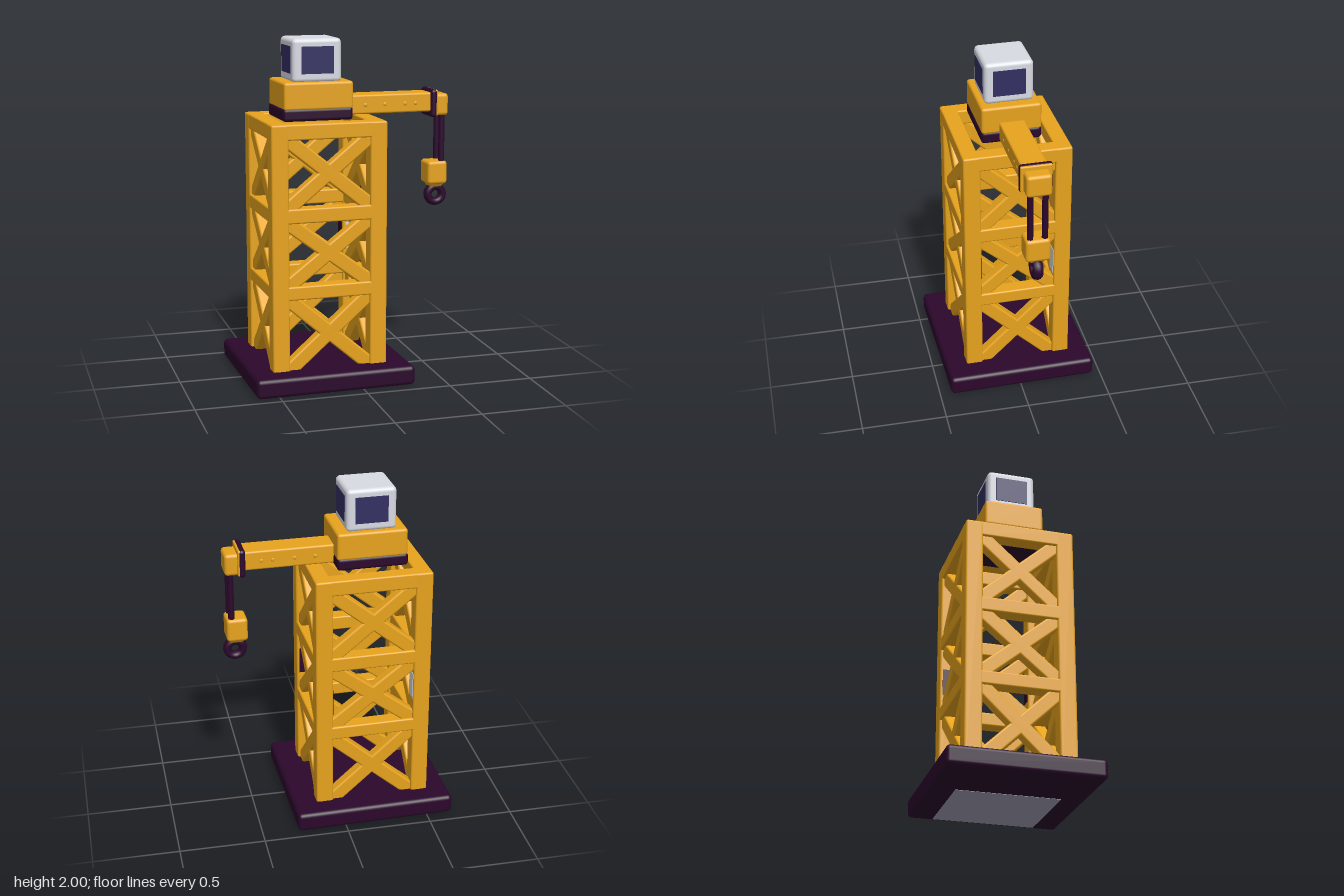
import * as THREE from 'three';
import { RoundedBoxGeometry } from 'three/addons/geometries/RoundedBoxGeometry.js';

export function createModel() {
  const material = (name, color) => {
    const m = new THREE.MeshStandardMaterial({ color });
    m.name = name;
    return m;
  };
  const yellow = material('crane yellow', 0xeea81e);
  const purple = material('dark purple', 0x2b072b);
  const silver = material('silver', 0xd8dbe3);
  const navy = material('navy glass', 0x323062);
  const slate = material('slate grey', 0xa2a0b4);

  const model = new THREE.Group();
  model.name = 'towerCrane';
  // Everything turns slightly around the tower's axis
  const crane = new THREE.Group();
  crane.name = 'crane';
  crane.position.x = -0.175;
  crane.rotation.y = 0.024;
  model.add(crane);

  const add = (name, geometry, mat, x, y, z, parent = crane) => {
    const mesh = new THREE.Mesh(geometry, mat);
    mesh.name = name;
    mesh.position.set(x, y, z);
    parent.add(mesh);
    return mesh;
  };
  const block = (name, w, h, d, r, mat, x, y, z, parent) =>
    add(name, new RoundedBoxGeometry(w, h, d, 3, r), mat, x, y, z, parent);

  // Base slab with a pale panel underneath
  block('base', 0.945, 0.113, 0.888, 0.025, purple, 0.003, 0.0585, 0);
  add('undersidePanel', new THREE.BoxGeometry(0.53, 0.006, 0.6), slate, 0.18, 0.003, 0);

  // Lattice tower
  const tower = new THREE.Group();
  tower.name = 'tower';
  tower.position.x = -0.003;
  crane.add(tower);
  const halfX = 0.341, halfZ = 0.319, post = 0.1, bottom = 0.1, top = 1.54;
  for (const sx of [-1, 1]) for (const sz of [-1, 1]) {
    block('cornerPost', post, top - bottom, post, 0.012, yellow,
      sx * (halfX - post / 2), (top + bottom) / 2, sz * (halfZ - post / 2), tower);
  }
  const beams = [[0.53, 0.61], [0.975, 1.06], [1.45, 1.54]];
  const bays = [[0.11, 0.53], [0.61, 0.975], [1.06, 1.45]];
  // One lattice wall, flat in its own xy plane with its outside at z = 0
  const buildWall = (half, distance, angle) => {
    const wall = new THREE.Group();
    wall.name = 'latticeWall';
    wall.rotation.y = angle;
    wall.position.set(Math.sin(angle) * distance, 0, Math.cos(angle) * distance);
    tower.add(wall);
    const span = 2 * (half - post);
    for (const [y0, y1] of beams) {
      block('crossBeam', span + 0.06, y1 - y0, 0.095, 0.01, yellow, 0, (y0 + y1) / 2, -0.0485, wall);
    }
    for (const [y0, y1] of bays) {
      for (const s of [-1, 1]) {
        const brace = block('diagonalBrace', Math.hypot(span, y1 - y0) + 0.03, 0.086, 0.07, 0.012,
          yellow, 0, (y0 + y1) / 2, -0.05, wall);
        brace.rotation.z = s * Math.atan2(y1 - y0, span);
      }
    }
  };
  buildWall(halfX, halfZ, 0);
  buildWall(halfX, halfZ, Math.PI);
  buildWall(halfZ, halfX, Math.PI / 2);
  buildWall(halfZ, halfX, -Math.PI / 2);

  // Painted patches on the inner faces of the posts
  const innerX = halfX - post, innerZ = halfZ - post;
  const wide = new THREE.BoxGeometry(0.07, 0.16, 0.006);
  const deep = new THREE.BoxGeometry(0.006, 0.16, 0.07);
  add('postPatch', wide, silver, innerX + 0.05, 0.77, -innerZ, tower);
  add('postPatch', deep, silver, -innerX, 0.82, -innerZ - 0.05, tower);
  add('postPatch', wide, purple, innerX + 0.05, 0.795, innerZ, tower);
  add('postPatch', deep, purple, innerX, 0.77, -innerZ - 0.05, tower);

  // Slewing platform and turret
  block('slewingPlate', 0.415, 0.075, 0.352, 0.02, purple, -0.028, 1.572, 0);
  block('turret', 0.41, 0.16, 0.35, 0.016, yellow, -0.025, 1.677, 0);

  // Operator cab with a window on each side
  const cab = new THREE.Group();
  cab.name = 'cab';
  cab.position.set(-0.025, 1.875, 0);
  crane.add(cab);
  block('cabShell', 0.29, 0.25, 0.285, 0.025, silver, 0, 0, 0, cab);
  for (let i = 0; i < 4; i++) {
    const angle = i * Math.PI / 2;
    const reach = i % 2 ? 0.146 : 0.1435;
    const pane = add('cabWindow', new THREE.BoxGeometry(0.19, 0.155, 0.006), navy,
      Math.sin(angle) * reach, 0.003, Math.cos(angle) * reach, cab);
    pane.rotation.y = angle;
  }

  // Jib with small studs along both sides
  block('jib', 0.54, 0.113, 0.15, 0.012, yellow, 0.435, 1.606, -0.002);
  for (const x of [0.285, 0.405, 0.53, 0.595]) for (const s of [-1, 1]) {
    const stud = add('jibStud', new THREE.SphereGeometry(0.013, 8, 6), yellow, x, 1.603, -0.002 + s * 0.073);
    stud.scale.z = 0.5;
  }

  // Jib head with its dark collar, faced in yellow at the tip side
  block('jibCollar', 0.04, 0.165, 0.19, 0.018, purple, 0.708, 1.598, -0.003);
  block('collarFace', 0.02, 0.155, 0.18, 0.008, yellow, 0.722, 1.6, -0.003);
  block('jibHead', 0.1, 0.13, 0.145, 0.02, yellow, 0.755, 1.587, -0.002);

  // Twin hoist cables
  for (const s of [-1, 1]) {
    add('hoistCable', new THREE.CylinderGeometry(0.018, 0.018, 0.32, 12), purple, 0.772, 1.385, s * 0.042);
  }

  // Hook block with a tapered foot
  block('hookBlock', 0.122, 0.14, 0.142, 0.02, yellow, 0.742, 1.178, 0);
  const footGeometry = new THREE.CylinderGeometry(Math.SQRT1_2, 0.42, 1, 4, 1).rotateY(Math.PI / 4);
  const foot = add('hookBlockFoot', footGeometry.toNonIndexed(), yellow, 0.742, 1.108, 0);
  foot.geometry.computeVertexNormals();
  foot.scale.set(0.108, 0.035, 0.125);

  // Ring hook
  const hook = add('hook', new THREE.TorusGeometry(0.046, 0.024, 12, 28), purple, 0.75, 1.04, 0);
  hook.scale.z = 1.3;

  return model;
}
